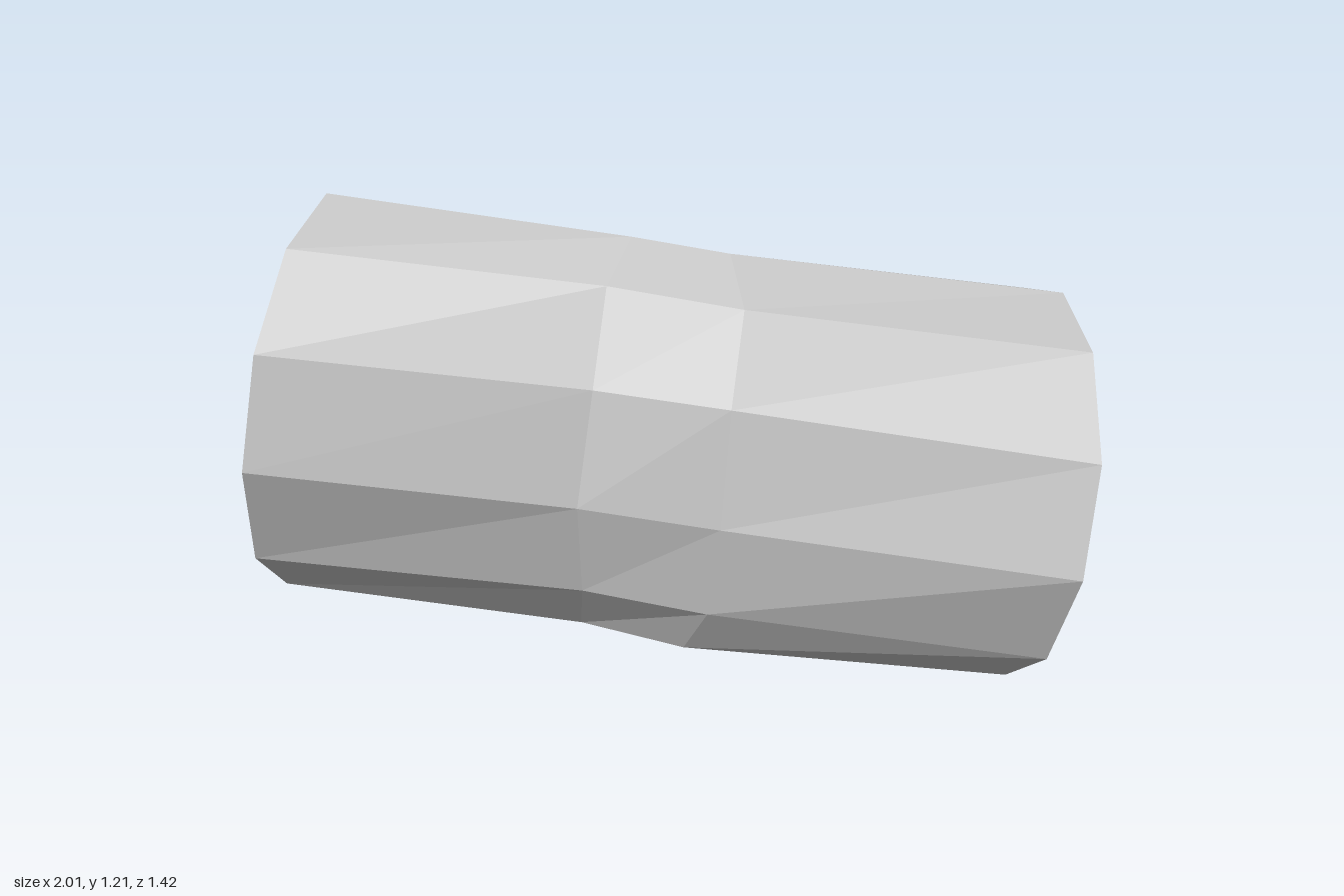
import * as THREE from 'three';

const SIDES = 11;

// Flared round mouth: a circle in the y-z plane, leaning slightly in x
function leftMouth() {
  const ring = [];
  for (let i = 0; i < SIDES; i++) {
    const a = ((i - 8) / SIDES) * Math.PI * 2 - 0.02;
    const z = Math.cos(a) * 0.495, y = Math.sin(a) * 0.498;
    ring.push([-0.952 + 0.08 * z + 0.077 * y, 0.725 + y, 0.215 + z]);
  }
  return ring;
}

// Pinched cross-section on the left side of the bend
const bendLeft = [
  [-0.17, 1.15, 0.05], [-0.2, 1.07, -0.07], [-0.22, 0.87, -0.12], [-0.23, 0.61, -0.085],
  [-0.24, 0.355, 0.03], [-0.25, 0.23, 0.15], [-0.24, 0.2, 0.27], [-0.2, 0.345, 0.37],
  [-0.19, 0.59, 0.42], [-0.17, 0.87, 0.35], [-0.18, 1.08, 0.21],
];

// Pinched cross-section on the right side of the bend
const bendRight = [
  [0.06, 1.11, -0.01], [0.01, 1.03, -0.125], [-0.03, 0.84, -0.165], [-0.04, 0.575, -0.125],
  [-0.04, 0.32, -0.015], [-0.02, 0.18, 0.11], [0.02, 0.16, 0.25], [0.1, 0.295, 0.31],
  [0.14, 0.54, 0.335], [0.15, 0.83, 0.28], [0.14, 1.03, 0.14],
];

// Slanted mouth on the right, turned towards the back
const rightMouth = [
  [0.82, 0.975, -0.335], [0.68, 0.885, -0.575], [0.575, 0.66, -0.71], [0.52, 0.385, -0.71],
  [0.55, 0.14, -0.565], [0.64, 0.005, -0.335], [0.77, 0.025, -0.085], [0.9, 0.19, 0.1],
  [0.985, 0.45, 0.17], [1.0, 0.72, 0.09], [0.935, 0.92, -0.105],
];

// Skin neighbouring cross-sections with two triangles per side
function loft(rings) {
  const positions = rings.flat(2);
  const index = [];
  for (let r = 0; r < rings.length - 1; r++) {
    for (let i = 0; i < SIDES; i++) {
      const j = (i + 1) % SIDES;
      const a = r * SIDES + i, b = r * SIDES + j;
      const c = b + SIDES, d = a + SIDES;
      index.push(a, d, c, a, c, b);
    }
  }
  const geometry = new THREE.BufferGeometry();
  geometry.setAttribute('position', new THREE.Float32BufferAttribute(positions, 3));
  geometry.setIndex(index);
  const flat = geometry.toNonIndexed();
  flat.computeVertexNormals();
  return flat;
}

export function createModel() {
  const group = new THREE.Group();
  group.name = 'bentSleeve';
  const material = new THREE.MeshStandardMaterial({
    color: 0xcccccc, flatShading: true, side: THREE.DoubleSide,
  });

  // Open bent tube
  const tube = new THREE.Mesh(loft([leftMouth(), bendLeft, bendRight, rightMouth]), material);
  tube.name = 'openTube';
  group.add(tube);
  return group;
}
